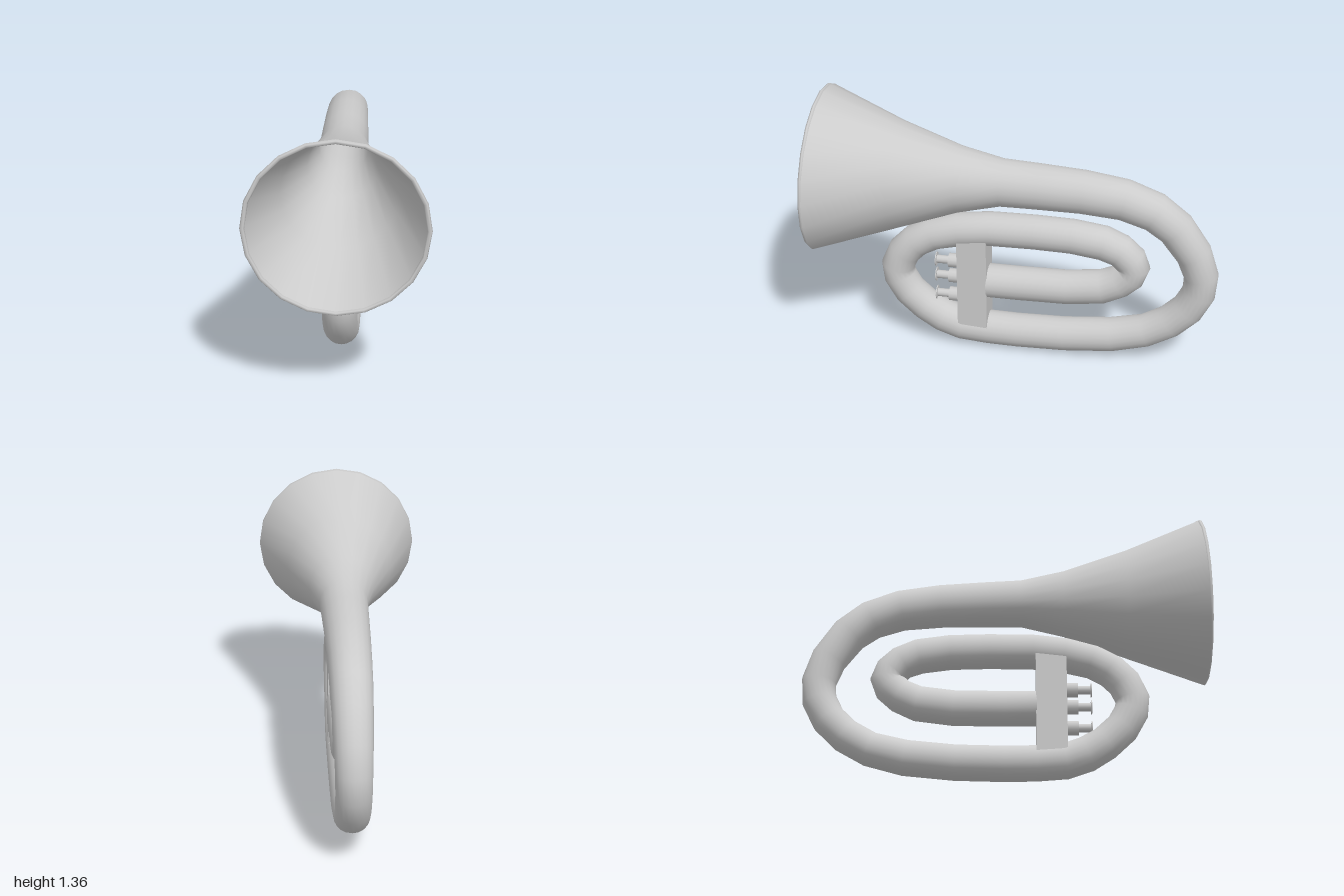
import * as THREE from 'three';

const SIDES = 20;

// Sweeps a round section along rings [z, y, radius] lying in the x = 0 plane
function sweep(rings) {
  const pos = [], index = [];
  rings.forEach(([z, y, r], i) => {
    const p = rings[Math.max(i - 1, 0)], q = rings[Math.min(i + 1, rings.length - 1)];
    const len = Math.hypot(q[0] - p[0], q[1] - p[1]);
    const tz = (q[0] - p[0]) / len, ty = (q[1] - p[1]) / len;
    for (let j = 0; j < SIDES; j++) {
      const a = (j / SIDES) * Math.PI * 2, s = r * Math.sin(a);
      pos.push(r * Math.cos(a), y + s * tz, z - s * ty);
      if (i < rings.length - 1) {
        const k = (j + 1) % SIDES, m = i * SIDES, n = m + SIDES;
        index.push(m + j, m + k, n + j, m + k, n + k, n + j);
      }
    }
  });
  const g = new THREE.BufferGeometry();
  g.setAttribute('position', new THREE.Float32BufferAttribute(pos, 3));
  g.setIndex(index);
  g.computeVertexNormals();
  return g;
}

export function createModel() {
  const model = new THREE.Group();
  model.name = 'brassHorn';
  const mat = new THREE.MeshStandardMaterial({ color: 0xcccccc });
  const openMat = new THREE.MeshStandardMaterial({ color: 0xcccccc, side: THREE.DoubleSide });
  const add = (name, geometry, material = mat, parent = model) => {
    const mesh = new THREE.Mesh(geometry, material);
    mesh.name = name;
    parent.add(mesh);
    return mesh;
  };

  // Flared bell narrowing into the back bend
  const bell = [
    [0.977, 0.945, 0.415], [0.6, 0.936, 0.272], [0.29, 0.941, 0.166], [0.08, 0.943, 0.119],
    [-0.1, 0.939, 0.114], [-0.32, 0.931, 0.108], [-0.52, 0.908, 0.102], [-0.67, 0.855, 0.098],
    [-0.775, 0.775, 0.094], [-0.87, 0.64, 0.089], [-0.912, 0.52, 0.085],
  ];
  // Bottom run, front bend, and inner loop back to the valve block
  const coil = [
    [-0.905, 0.42], [-0.855, 0.32], [-0.77, 0.235], [-0.65, 0.165], [-0.48, 0.12], [-0.24, 0.095],
    [0, 0.088], [0.15, 0.09], [0.29, 0.1], [0.39, 0.135], [0.48, 0.19], [0.565, 0.27],
    [0.612, 0.355], [0.62, 0.42], [0.583, 0.505], [0.52, 0.57], [0.43, 0.62], [0.295, 0.657],
    [0.14, 0.676], [-0.08, 0.68], [-0.27, 0.676], [-0.425, 0.655], [-0.51, 0.62], [-0.56, 0.572],
    [-0.577, 0.53], [-0.56, 0.488], [-0.51, 0.442], [-0.425, 0.402], [-0.25, 0.378], [0, 0.373],
    [0.153, 0.373],
  ].map(([z, y]) => [z, y, z > 0.4 || z < -0.5 ? 0.084 : 0.087]);
  add('hornTube', sweep([...bell, ...coil]), openMat);

  // Rolled lip of the bell
  const rim = add('bellRim', new THREE.TorusGeometry(0.405, 0.011, 6, SIDES));
  rim.position.set(0, 0.945, 0.977);
  rim.rotation.x = -0.03;

  // Block joining the three runs of tube
  add('valveBlock', new THREE.BoxGeometry(0.154, 0.54, 0.15)).position.set(0, 0.385, 0.225);

  // Valves: casing, stem and thin button, stacked along z
  for (const y of [0.47, 0.38, 0.27]) {
    const valve = new THREE.Group();
    valve.name = 'valve';
    valve.position.set(0, y, 0.295);
    valve.rotation.x = Math.PI / 2;
    model.add(valve);
    for (const [name, r, from, to] of [
      ['valveCasing', 0.036, 0, 0.06], ['valveStem', 0.021, 0.06, 0.122], ['valveButton', 0.036, 0.122, 0.127],
    ]) {
      add(name, new THREE.CylinderGeometry(r, r, to - from, 12), mat, valve).position.y = (from + to) / 2;
    }
  }
  return model;
}
